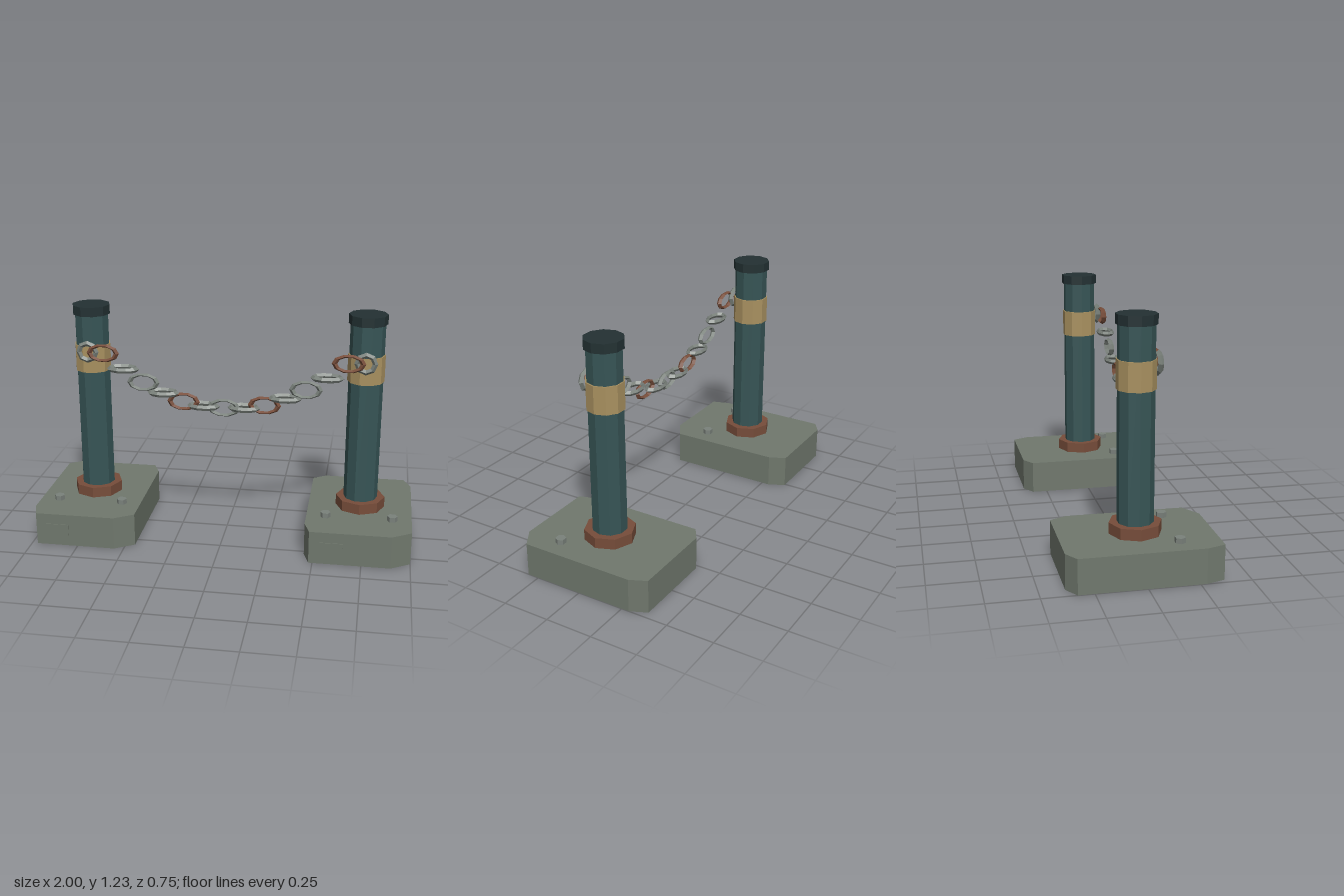
import * as THREE from 'three';

const mat = (name, color) => {
  const m = new THREE.MeshStandardMaterial({ color, flatShading: true });
  m.name = name;
  return m;
};

export function createModel() {
  const concrete = mat('concrete', 0x70786d);
  const paint = mat('tealPaint', 0x375556);
  const capPaint = mat('darkCap', 0x233133);
  const brass = mat('brassBand', 0xa99160);
  const rust = mat('rust', 0x774d3a);
  const steel = mat('steel', 0x7a817b);

  const model = new THREE.Group();
  model.name = 'chainBarrier';

  const add = (parent, name, geometry, material, x = 0, y = 0, z = 0) => {
    const mesh = new THREE.Mesh(geometry, material);
    mesh.name = name;
    mesh.position.set(x, y, z);
    parent.add(mesh);
    return mesh;
  };

  // Upright prism between two heights
  const prism = (parent, name, r, y0, y1, sides, turn, material, x = 0, z = 0) => {
    const g = new THREE.CylinderGeometry(r, r, y1 - y0, sides).rotateY(turn);
    return add(parent, name, g, material, x, (y0 + y1) / 2, z);
  };

  // Block outline with uneven chipped corners, as x and z
  const outline = [
    [-0.275, -0.33], [-0.205, -0.376], [0.235, -0.376], [0.275, -0.29],
    [0.275, 0.31], [0.175, 0.373], [-0.245, 0.373], [-0.275, 0.28],
  ];
  const baseShape = new THREE.Shape(outline.map(([x, z]) => new THREE.Vector2(x, -z)));
  const baseGeometry = new THREE.ExtrudeGeometry(baseShape, { depth: 0.176, bevelEnabled: false });
  baseGeometry.rotateX(-Math.PI / 2);

  // Two identical bollards
  for (const side of [-1, 1]) {
    const post = new THREE.Group();
    post.name = side < 0 ? 'rightBollard' : 'leftBollard';
    post.position.x = side * 0.725;
    model.add(post);

    add(post, 'base', baseGeometry, concrete);
    add(post, 'basePatch', new THREE.BoxGeometry(0.12, 0.06, 0.008), concrete, -0.13, 0.09, 0.373);
    prism(post, 'collar', 0.13, 0.176, 0.232, 8, 0, rust);
    prism(post, 'shaft', 0.09, 0.2, 1.19, 10, Math.PI / 10, paint);
    prism(post, 'band', 0.096, 0.88, 1.022, 10, Math.PI / 10, brass);
    prism(post, 'cap', 0.1, 1.184, 1.233, 10, Math.PI / 10, capPaint);
    for (const x of [-0.174, 0.174]) {
      prism(post, 'bolt', 0.027, 0.17, 0.202, 6, Math.PI / 6, steel, x, 0.175);
    }
    add(post, 'eyelet', new THREE.TorusGeometry(0.046, 0.014, 4, 8), steel, 0, 1, 0.106);
  }

  // Chain of oval links, alternately upright and flat
  const chain = new THREE.Group();
  chain.name = 'chain';
  model.add(chain);
  const upright = new THREE.TorusGeometry(0.073, 0.014, 4, 10).scale(1, 0.57, 1);
  const flat = upright.clone().rotateX(Math.PI / 2);
  const heights = [0.733, 0.738, 0.757, 0.8, 0.852, 0.92, 1.0]; // middle to end
  for (let i = -6; i <= 6; i++) {
    const n = Math.abs(i);
    const rusty = n === 2 || n === 6;
    add(chain, 'link', n % 2 ? flat : upright, rusty ? rust : steel, i * 0.1065, heights[n], 0.118);
  }

  return model;
}
